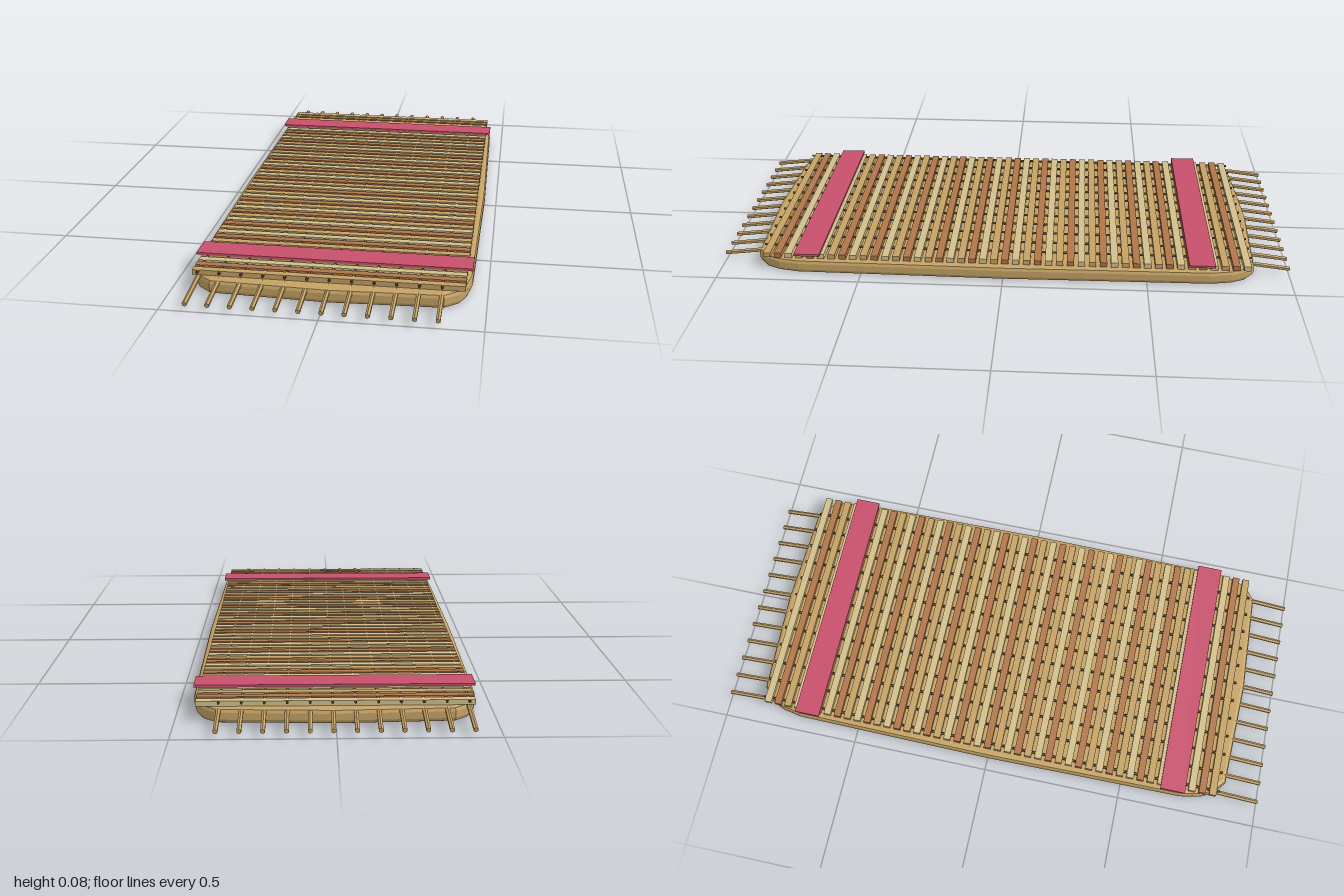
import * as THREE from 'three';

const mat = (name, color, flatShading = false) => {
  const m = new THREE.MeshStandardMaterial({ color, flatShading });
  m.name = name;
  return m;
};

export function createModel() {
  const root = new THREE.Group();
  root.name = 'wovenMat';
  const tan = mat('tan straw', 0xc4a265, true);
  const pale = mat('pale reed', 0xd2bf8c);
  const brown = mat('brown reed', 0xb0774a);
  const dark = mat('dark thread', 0x5e4429);
  const pink = mat('pink cloth', 0xc8506c);

  const add = (parent, name, geometry, material, x, y, z) => {
    const mesh = new THREE.Mesh(geometry, material);
    mesh.name = name;
    mesh.position.set(x, y, z);
    parent.add(mesh);
    return mesh;
  };
  const group = (name) => {
    const g = new THREE.Group();
    g.name = name;
    root.add(g);
    return g;
  };

  // Padded base: mirrored outline with soft corners, bevelled top and bottom
  const corner = [[0.458, 0], [0.45, 0.72], [0.437, 0.79], [0.415, 0.838], [0.37, 0.875], [0, 0.89]];
  const back = corner.slice(0, -1).reverse().map(([x, z]) => [-x, z]);
  const half = [...corner, ...back];
  const outline = [...half, ...half.slice(1, -1).reverse().map(([x, z]) => [x, -z])];
  const bevel = 0.014;
  const shape = new THREE.Shape(outline.map(([x, z]) => new THREE.Vector2(x, z)));
  const baseGeo = new THREE.ExtrudeGeometry(shape, {
    depth: 0.022, bevelEnabled: true, bevelThickness: bevel, bevelSize: bevel,
    bevelOffset: -bevel, bevelSegments: 2, curveSegments: 1,
  });
  baseGeo.rotateX(-Math.PI / 2);
  add(root, 'base', baseGeo, tan, 0, bevel, 0);

  // Reeds laid crosswise in a repeating colour order
  const reeds = group('reeds');
  const reedGeo = new THREE.BoxGeometry(0.866, 0.017, 0.025);
  const reedColours = [pale, brown, tan];
  const count = 45;
  for (let i = 0; i < count; i++) {
    const z = (i - (count - 1) / 2) * 0.0381 - 0.006;
    add(reeds, 'reed', reedGeo, reedColours[i % 3], 0, 0.059, z);
  }

  // Lengthwise binding threads, each ending in a drooping fringe strand
  const threads = group('threads');
  const fringe = group('fringe');
  const threadGeo = new THREE.CylinderGeometry(0.0045, 0.0045, 1.72, 6).rotateX(Math.PI / 2);
  const strandGeo = new THREE.CylinderGeometry(0.008, 0.008, 0.17, 6).rotateX(Math.PI / 2);
  for (let i = 0; i < 12; i++) {
    const x = -0.414 + i * 0.0705;
    add(threads, 'thread', threadGeo, dark, x, 0.063, -0.004);
    for (const s of [-1, 1]) {
      add(fringe, 'fringeStrand', strandGeo, tan, x, 0.035, s * 0.916).rotation.x = s * 0.12;
    }
  }

  // Cloth bands across both ends
  const bandGeo = new THREE.BoxGeometry(0.9, 0.008, 0.09);
  for (const s of [-1, 1]) add(root, 'clothBand', bandGeo, pink, 0, 0.0715, s * 0.687);

  return root;
}
